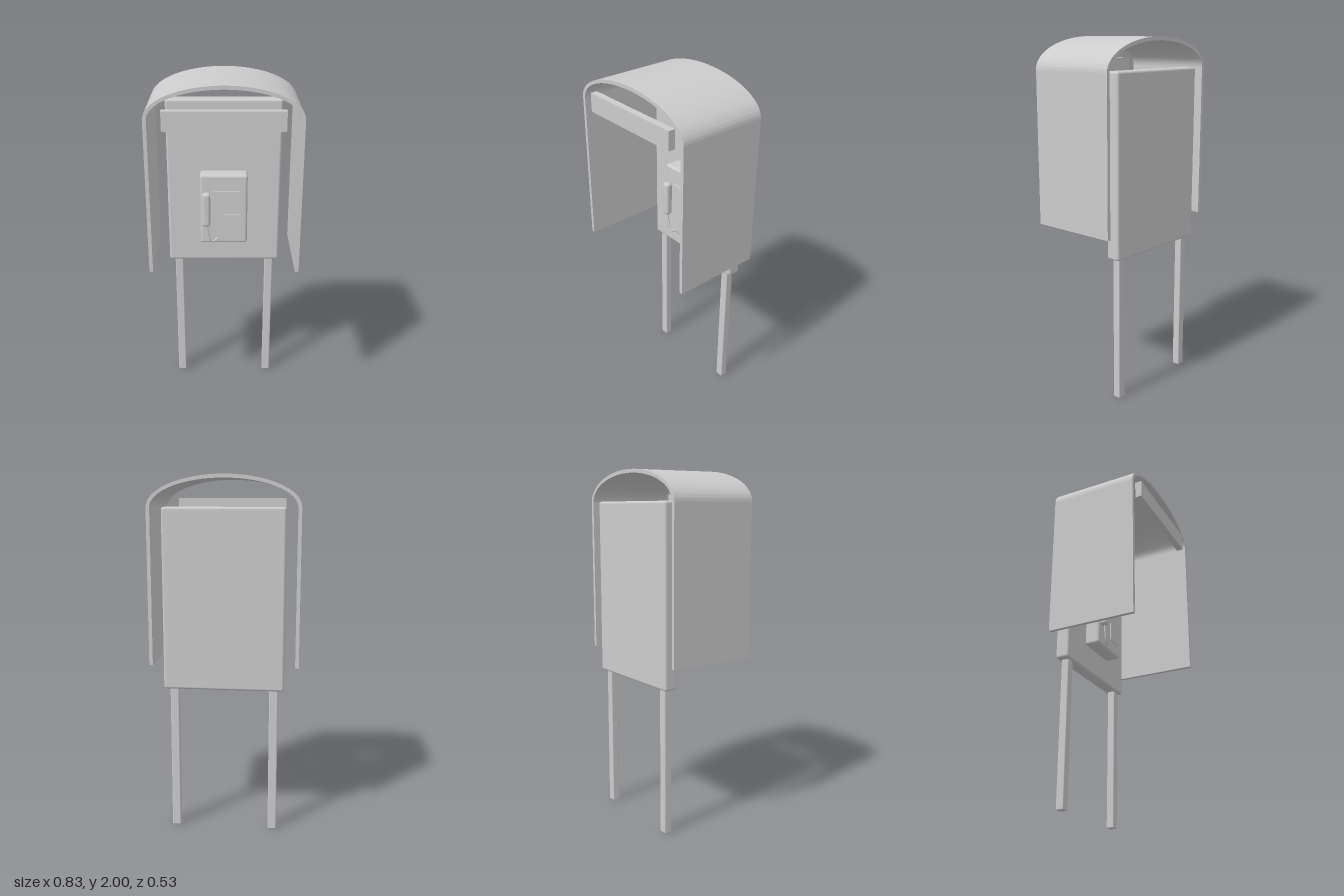
import * as THREE from 'three';
import { toCreasedNormals } from 'three/addons/utils/BufferGeometryUtils.js';
import { RoundedBoxGeometry } from 'three/addons/geometries/RoundedBoxGeometry.js';

const grey = new THREE.MeshStandardMaterial({ color: 0xcccccc });
grey.name = 'light grey';

export function createModel() {
  const model = new THREE.Group();
  model.name = 'payphoneBooth';

  const add = (name, geometry) => {
    const mesh = new THREE.Mesh(geometry, grey);
    mesh.name = name;
    model.add(mesh);
    return mesh;
  };
  // Box given by its minimum and maximum corners, with optional rounded edges
  const box = (name, [x0, y0, z0], [x1, y1, z1], radius = 0) => {
    const size = [x1 - x0, y1 - y0, z1 - z0];
    const geometry = radius
      ? new RoundedBoxGeometry(...size, 3, radius)
      : new THREE.BoxGeometry(...size);
    add(name, geometry).position.set((x0 + x1) / 2, (y0 + y1) / 2, (z0 + z1) / 2);
  };

  const back = -0.265, front = 0.253, eaves = 1.825;

  // Arched roof: half an elliptical ring, extruded from back to front
  const arch = new THREE.Shape();
  arch.moveTo(0.415, eaves);
  arch.absellipse(0, eaves, 0.415, 0.175, 0, Math.PI, false);
  arch.lineTo(-0.395, eaves);
  arch.absellipse(0, eaves, 0.395, 0.155, Math.PI, 0, true);
  arch.closePath();
  const roof = new THREE.ExtrudeGeometry(arch, {
    depth: front - back, bevelEnabled: false, curveSegments: 40,
  });
  add('roof', toCreasedNormals(roof, 0.6)).position.z = back;

  // Side walls and legs
  for (const [side, s] of [['left', 1], ['right', -1]]) {
    box(side + 'Wall', [s * 0.405 - 0.01, 0.965, back], [s * 0.405 + 0.01, eaves, front]);
    box(side + 'Leg', [s * 0.278 - 0.024, 0, -0.244], [s * 0.278 + 0.024, 0.85, -0.2], 0.005);
  }

  // Back panel, information plate and sign board
  box('backPanel', [-0.335, 0.83, back], [0.335, 1.83, -0.185], 0.014);
  box('informationPlate', [-0.265, 1.45, -0.187], [0.265, 1.79, -0.18]);
  box('signBoard', [-0.32, 1.77, 0.225], [0.32, 1.875, 0.265]);

  // Telephone with display and keypad
  box('phoneBody', [-0.14, 0.98, -0.2], [0.138, 1.41, -0.1], 0.016);
  box('display', [-0.062, 1.25, -0.104], [0.093, 1.312, -0.092]);
  box('keypad', [0, 1.05, -0.104], [0.1, 1.166, -0.095]);

  // Handset and its cord
  box('handset', [-0.128, 1.1, -0.105], [-0.08, 1.307, -0.06], 0.017);
  const cord = new THREE.CatmullRomCurve3([
    new THREE.Vector3(-0.102, 1.11, -0.082),
    new THREE.Vector3(-0.095, 1.06, -0.082),
    new THREE.Vector3(-0.083, 1.015, -0.083),
    new THREE.Vector3(-0.066, 0.997, -0.087),
    new THREE.Vector3(-0.036, 1.012, -0.102),
  ]);
  add('cord', new THREE.TubeGeometry(cord, 24, 0.006, 8));

  return model;
}
